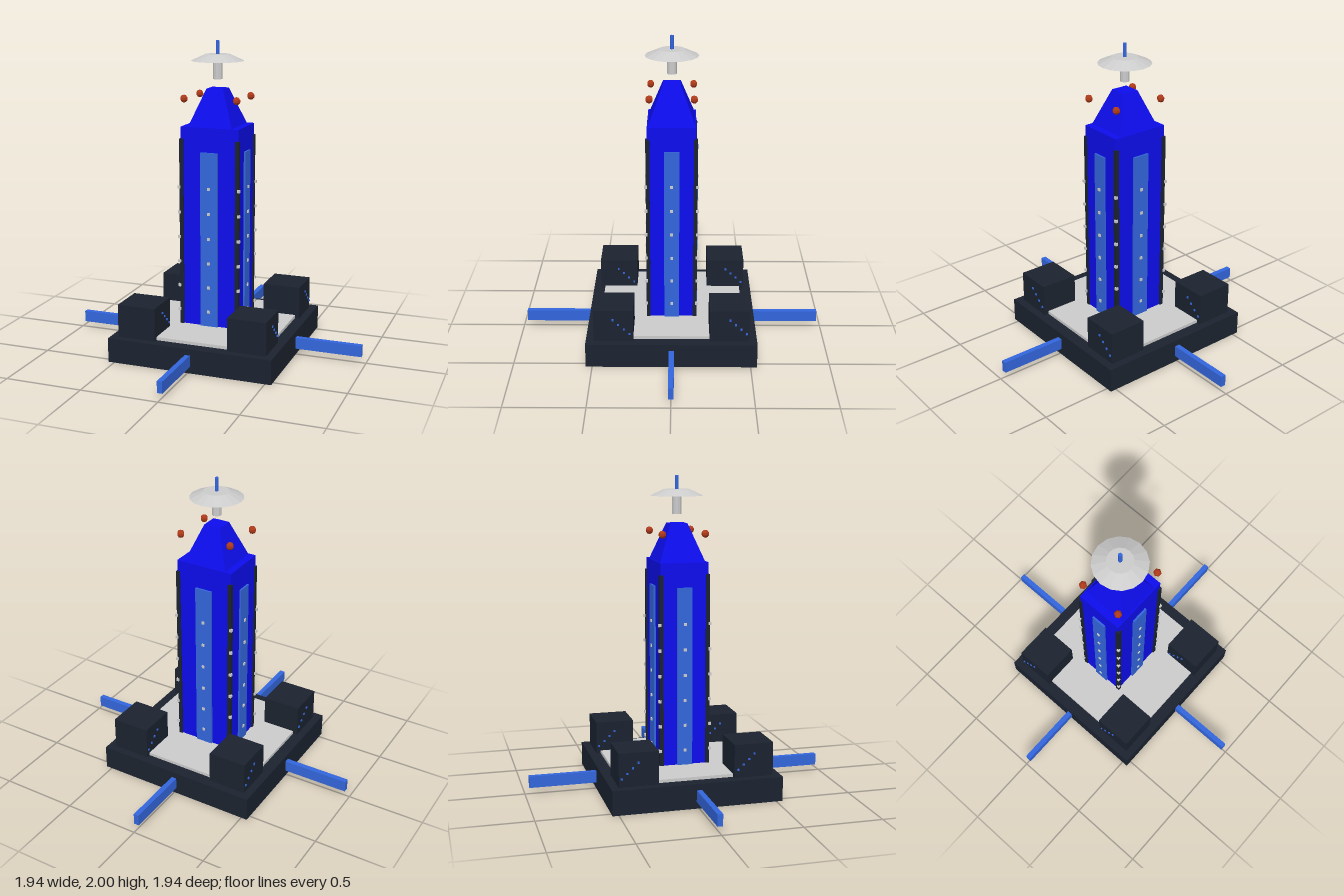
import * as THREE from 'three';

const mat = (color) => new THREE.MeshStandardMaterial({ color, flatShading: true });

export function createModel() {
  const model = new THREE.Group();
  const dark = mat(0x1b2330), blue = mat(0x0d0dee), light = mat(0x3366dd);
  const grey = mat(0xcccccc), orange = mat(0xb03a1a);

  const add = (name, geometry, material, x, y, z) => {
    const mesh = new THREE.Mesh(geometry, material);
    mesh.name = name;
    mesh.position.set(x, y, z);
    model.add(mesh);
    return mesh;
  };
  // Box centred on x and z, spanning y0 to y1
  const box = (name, material, w, y0, y1, d, x = 0, z = 0) =>
    add(name, new THREE.BoxGeometry(w, y1 - y0, d), material, x, (y0 + y1) / 2, z);

  // Base and deck
  box('base', dark, 1.08, 0, 0.157, 1.08);
  box('deck', grey, 0.925, 0.157, 0.177, 0.925);

  // Tower with a tapered four-sided roof
  box('tower', blue, 0.384, 0.177, 1.47, 0.306);
  const roof = new THREE.CylinderGeometry(0.055 * Math.SQRT2, 0.145 * Math.SQRT2, 0.233, 4);
  roof.rotateY(Math.PI / 4);
  add('roof', roof, blue, 0, 1.5865, 0);

  const rivetHeights = [0, 1, 2, 3, 4, 5].map((i) => 0.275 + i * 0.162);
  const rivetGeometry = new THREE.BoxGeometry(0.018, 0.018, 0.018);
  const rivets = (x, z) => rivetHeights.forEach((y) => add('rivet', rivetGeometry, grey, x, y, z));

  for (const s of [-1, 1]) {
    // Light panels on the four tower faces
    box('panelFrontBack', light, 0.114, 0.177, 1.315, 0.026, 0, s * 0.153);
    box('panelSide', light, 0.026, 0.177, 1.315, 0.096, s * 0.191, 0);
    rivets(0, s * 0.164);
    rivets(s * 0.202, 0);

    // Horizontal arms out of the base
    box('armSide', light, 0.45, 0.043, 0.117, 0.034, s * 0.747, 0);
    box('armFrontBack', light, 0.034, 0.043, 0.117, 0.45, 0, s * 0.747);

    for (const t of [-1, 1]) {
      // Corner rails
      box('cornerRail', dark, 0.025, 0.177, 1.395, 0.025, s * 0.186, t * 0.15);
      rivets(s * 0.199, t * 0.162);

      // Corner blocks with a diagonal row of small lights on each x face
      box('cornerBlock', dark, 0.25, 0.157, 0.37, 0.25, s * 0.365, t * 0.365);
      for (const face of [-1, 1]) {
        for (let i = 0; i < 4; i++) {
          add('blockLight', new THREE.BoxGeometry(0.012, 0.012, 0.012), light,
            s * 0.365 + face * 0.126, 0.306 - i * 0.032, t * 0.368 - i * 0.035);
        }
      }

      // Beacons floating around the roof
      add('beacon', new THREE.SphereGeometry(0.025, 6, 5), orange, s * 0.174, 1.645, t * 0.137);
    }
  }

  // Dish on its stem, with antenna
  add('dishStem', new THREE.CylinderGeometry(0.03, 0.03, 0.12, 12), grey, 0, 1.82, 0);
  add('dish', new THREE.CylinderGeometry(0.08, 0.168, 0.04, 16), grey, 0, 1.895, 0);
  add('antenna', new THREE.CylinderGeometry(0.012, 0.012, 0.1, 8), light, 0, 1.95, 0);

  return model;
}
